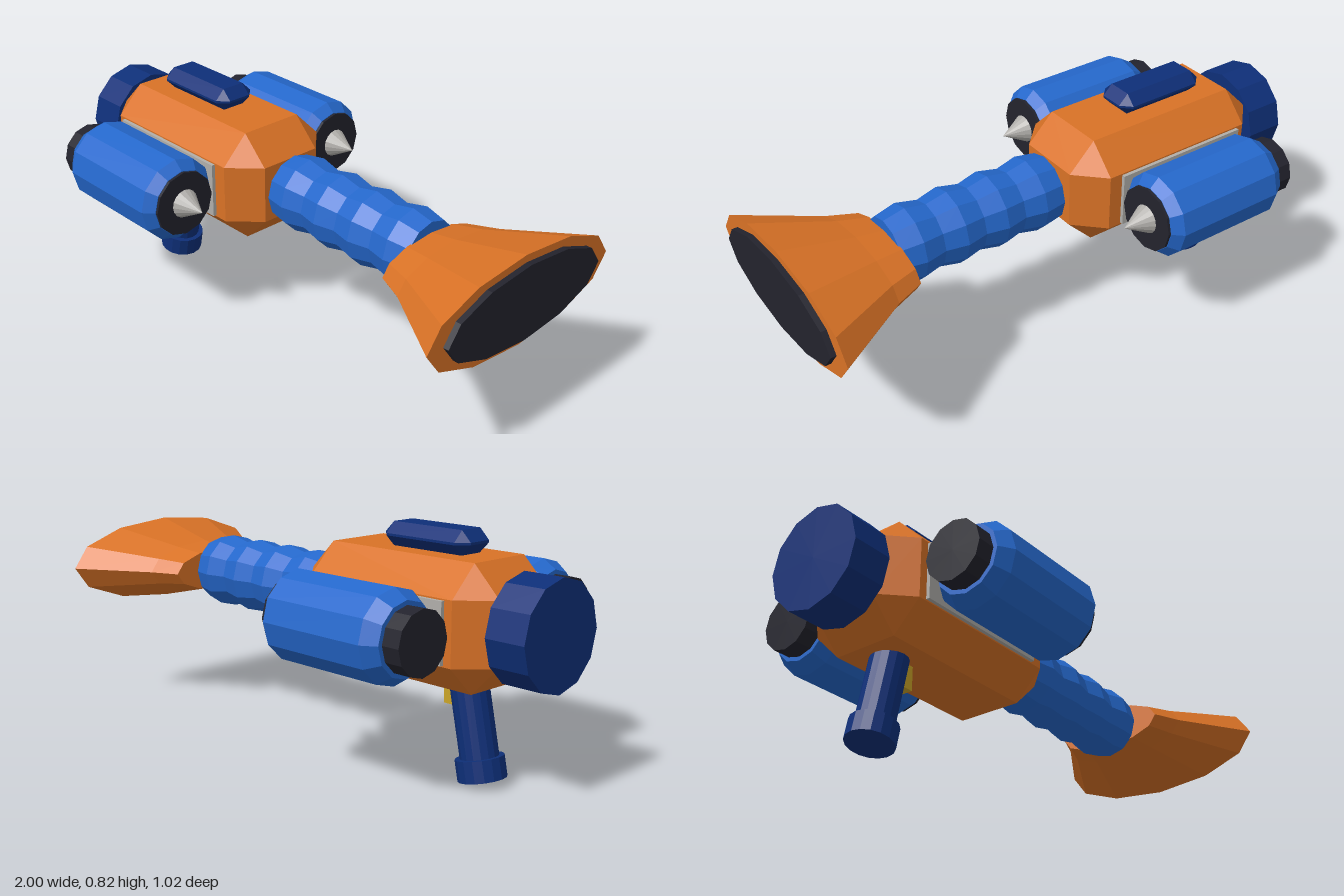
import * as THREE from 'three';
import { ConvexGeometry } from 'three/addons/geometries/ConvexGeometry.js';

const AXIS_Y = 0.535;

function material(name, color) {
  const m = new THREE.MeshStandardMaterial({ color, flatShading: true });
  m.name = name;
  return m;
}

// Box with every edge cut at 45 degrees
function chamferedBox(w, h, d, c) {
  const points = [];
  for (const sx of [-1, 1]) for (const sy of [-1, 1]) for (const sz of [-1, 1]) {
    const x = w / 2, y = h / 2, z = d / 2;
    points.push(
      new THREE.Vector3(sx * x, sy * (y - c), sz * (z - c)),
      new THREE.Vector3(sx * (x - c), sy * y, sz * (z - c)),
      new THREE.Vector3(sx * (x - c), sy * (y - c), sz * z));
  }
  return new ConvexGeometry(points);
}

// Closed turned solid along x from [x, radius] pairs
function turned(profile, sides = 12) {
  const first = profile[0], last = profile[profile.length - 1];
  const points = [[first[0], 0], ...profile, [last[0], 0]].map(([x, r]) => new THREE.Vector2(r, x));
  return new THREE.LatheGeometry(points, sides).rotateZ(-Math.PI / 2);
}

export function createModel() {
  const orange = material('orange', 0xd97226);
  const blue = material('blue', 0x2568cc);
  const navy = material('navy', 0x0e2f78);
  const dark = material('charcoal', 0x23232d);
  const grey = material('grey', 0xb0aeaa);
  const yellow = material('yellow', 0xcaa428);

  const group = new THREE.Group();
  function add(name, geometry, mat, x = 0, y = 0, z = 0, parent = group) {
    const mesh = new THREE.Mesh(geometry, mat);
    mesh.name = name;
    mesh.position.set(x, y, z);
    parent.add(mesh);
    return mesh;
  }

  // Main body, rear cap and top pod
  add('body', chamferedBox(0.81, 0.41, 0.44, 0.1), orange, -0.455, AXIS_Y, 0);
  add('rearCap', turned([[-1, 0.18], [-0.855, 0.18]]), navy, 0, AXIS_Y, 0);
  add('topPod', chamferedBox(0.36, 0.08, 0.16, 0.036), navy, -0.5, 0.78, 0);

  // Ribbed barrel
  const ribs = [[-0.03, 0.123]];
  for (let i = 0; i < 4; i++) {
    ribs.push([0.05 + i * 0.16, 0.136], [0.13 + i * 0.16, 0.119]);
  }
  add('barrel', turned(ribs), blue, 0, AXIS_Y, 0);

  // Flattened flaring horn and its dark mouth
  const flatten = 0.372;
  add('horn', turned([[0.605, 0.215], [0.71, 0.26], [0.98, 0.43]]).scale(1, flatten, 1),
    orange, 0, AXIS_Y, 0);
  add('hornMouth', turned([[0.97, 0.36], [1, 0.36]]).scale(1, flatten, 1), dark, 0, AXIS_Y, 0);

  // Side tanks with mounting plates
  for (const side of [-1, 1]) {
    const tank = new THREE.Group();
    tank.name = side > 0 ? 'frontTank' : 'backTank';
    tank.position.set(0, AXIS_Y, side * 0.36);
    group.add(tank);
    add('tankShell', turned([[-0.71, 0.12], [-0.66, 0.152], [-0.24, 0.152], [-0.205, 0.12]]),
      blue, 0, 0, 0, tank);
    add('tankRearCap', turned([[-0.775, 0.105], [-0.69, 0.105]]), dark, 0, 0, 0, tank);
    add('tankCollar', turned([[-0.235, 0.118], [-0.195, 0.118]]), dark, 0, 0, 0, tank);
    add('tankSpike', turned([[-0.2, 0.055], [-0.1, 0]], 16), grey, 0, 0, 0, tank);
    add('mountPlate', new THREE.BoxGeometry(0.53, 0.2, 0.04), grey, -0.465, 0, side * -0.147, tank);
  }

  // Slanted grip with a wider foot
  const grip = new THREE.Group();
  grip.name = 'grip';
  grip.position.set(-0.718, 0.018, 0);
  grip.rotation.z = -0.21;
  group.add(grip);
  add('gripShaft', new THREE.CylinderGeometry(0.064, 0.064, 0.38, 16), navy, 0, 0.24, 0, grip);
  add('gripFoot', new THREE.CylinderGeometry(0.081, 0.081, 0.072, 16), navy, 0, 0.036, 0, grip);

  // Trigger
  add('trigger', new THREE.BoxGeometry(0.05, 0.14, 0.046), yellow, -0.592, 0.315, 0);

  return group;
}
